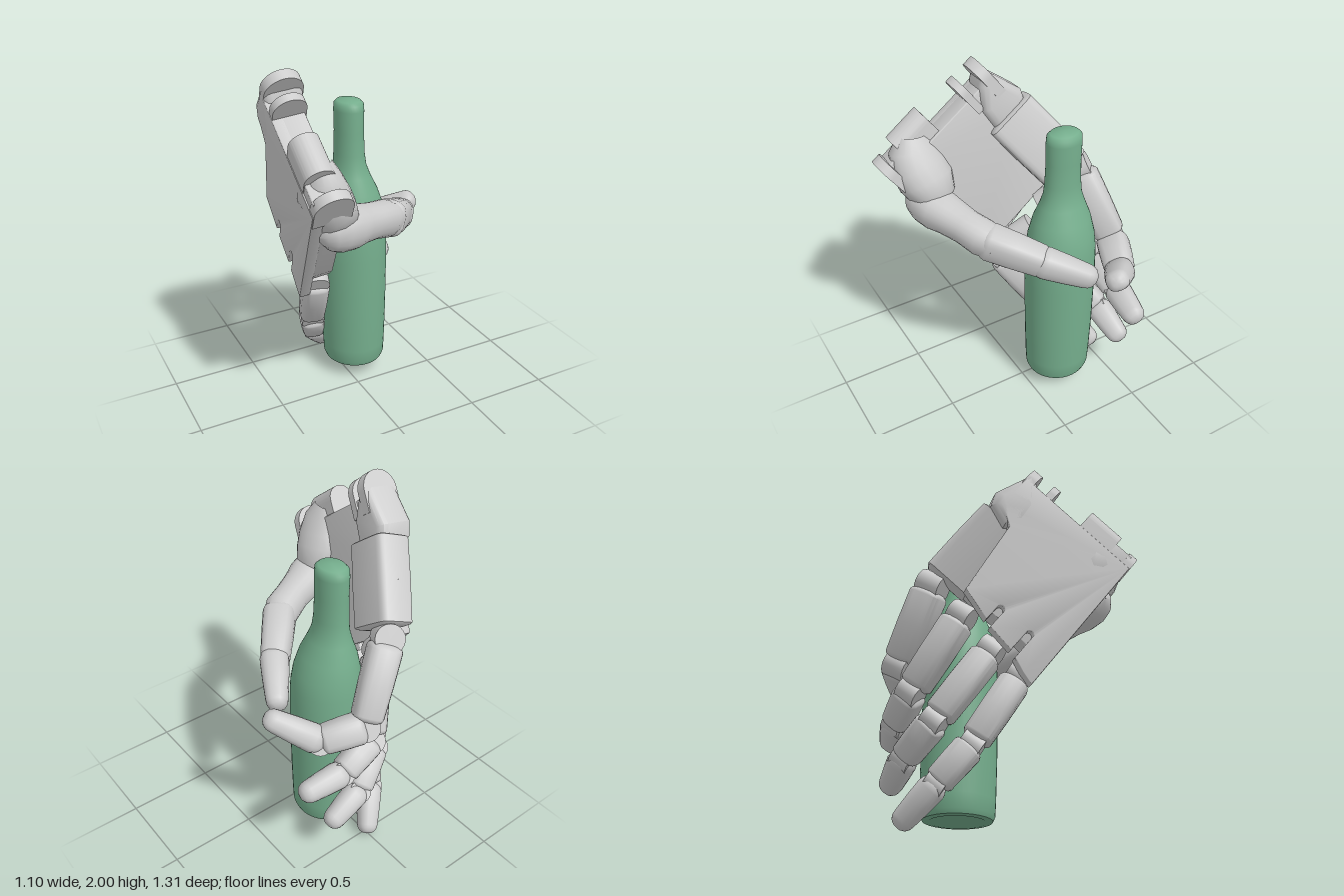
import * as THREE from 'three';
import { toCreasedNormals } from 'three/addons/utils/BufferGeometryUtils.js';

const V = (x, y, z) => new THREE.Vector3(x, y, z);
const grey = new THREE.MeshStandardMaterial({ color: 0xcccccc });
const green = new THREE.MeshStandardMaterial({ color: 0x75ae8d });

function mesh(name, geometry, material = grey, crease = 0.6) {
  const m = new THREE.Mesh(toCreasedNormals(geometry, crease), material);
  m.name = name;
  return m;
}

// Skin over rings [centre, halfWidth, halfDepth]; axis is the width direction,
// power < 1 makes the section squarer
function loft(rings, axis, power = 1, sides = 20) {
  const pos = [], index = [];
  const sp = (k) => Math.sign(k) * Math.abs(k) ** power;
  rings.forEach(([c, rw, rd], i) => {
    const prev = rings[Math.max(i - 1, 0)][0];
    const next = rings[Math.min(i + 1, rings.length - 1)][0];
    const t = next.clone().sub(prev).normalize();
    const u = axis.clone().addScaledVector(t, -axis.dot(t)).normalize();
    const v = t.clone().cross(u);
    for (let j = 0; j <= sides; j++) {
      const a = (j / sides) * Math.PI * 2;
      const p = c.clone().addScaledVector(u, rw * sp(Math.cos(a))).addScaledVector(v, rd * sp(Math.sin(a)));
      pos.push(p.x, p.y, p.z);
      if (i && j) {
        const d = i * (sides + 1) + j, b = d - sides - 1;
        index.push(b - 1, b, d - 1, b, d, d - 1);
      }
    }
  });
  const g = new THREE.BufferGeometry();
  g.setAttribute('position', new THREE.Float32BufferAttribute(pos, 3));
  g.setIndex(index);
  return g;
}

// Straight bone with rounded ends
function bone(name, a, b, r0, r1, axis, { power = 0.7, depth = 0.92, round = 0.6 } = {}) {
  const dir = b.clone().sub(a), len = dir.length();
  dir.normalize();
  const ring = (d, r) => [a.clone().addScaledVector(dir, d), r, r * depth];
  const cap = [[1, 0.001], [0.93, 0.42], [0.7, 0.74], [0.35, 0.93], [0, 1]];
  const rings = [
    ...cap.map(([o, s]) => ring(-o * r0 * round, r0 * s)),
    ring(len * 0.5, (r0 + r1) / 2 * 1.02),
    ...cap.slice().reverse().map(([o, s]) => ring(len + o * r1 * round, r1 * s)),
  ];
  return mesh(name, loft(rings, axis, power));
}

// Hinge barrel lying along an axis
function barrel(name, at, axis, r, length) {
  const m = mesh(name, new THREE.CylinderGeometry(r, r, length, 20));
  m.position.copy(at);
  m.quaternion.setFromUnitVectors(V(0, 1, 0), axis);
  return m;
}

// Three bones and their hinges through four joints
function finger(name, joints, axis, radii) {
  const g = new THREE.Group();
  g.name = name;
  ['proximalBone', 'middleBone', 'fingertip'].forEach((part, i) => {
    const a = joints[i], b = joints[i + 1], last = i === 2;
    const from = a.clone().lerp(b, 0.12), to = a.clone().lerp(b, 0.88);
    g.add(bone(part, from, to, radii[i], radii[i + 1], axis,
      { power: last ? 0.8 : 0.65, round: last ? 0.85 : 0.4 }));
    g.add(barrel('hinge', a, axis, radii[i] * 0.8, radii[i] * 1.4));
  });
  return g;
}

// Palm frame: x runs wrist to knuckles, y across the palm, z towards the bottle
function palm() {
  const g = new THREE.Group();
  g.name = 'palm';
  const slab = (name, shape, z0, z1, bevel) => {
    const m = mesh(name, new THREE.ExtrudeGeometry(shape, {
      depth: z1 - z0 - 2 * bevel, bevelEnabled: true, bevelSize: bevel, bevelThickness: bevel, bevelSegments: 3, curveSegments: 12,
    }), grey, 0.7);
    m.position.z = z0 + bevel;
    g.add(m);
  };
  const outline = (points) => new THREE.Shape(points.map(([x, y]) => new THREE.Vector2(x, y)));

  // back plate with open slots between the finger roots
  const s = new THREE.Shape();
  s.moveTo(0.13, 0.01);
  s.lineTo(1.03, 0.01);
  s.lineTo(1.01, 0.08);
  const slot = (y, end, next) => {
    const r = 0.026;
    s.lineTo(end, y - r);
    s.lineTo(0.83, y - r);
    s.absarc(0.83, y, r, -Math.PI / 2, -Math.PI * 1.5, true);
    s.lineTo(next, y + r);
  };
  slot(0.18, 0.98, 0.96);
  slot(0.38, 0.94, 0.92);
  s.lineTo(0.87, 0.58);
  s.lineTo(0.42, 0.64);
  s.lineTo(0.34, 0.755);
  s.lineTo(0.13, 0.755);
  s.closePath();
  slab('backPlate', s, 0.002, 0.065, 0.006);

  // thicker inner palm, stopping short of the knuckles
  slab('innerPalm', outline([[0.13, 0.012], [0.8, 0.012], [0.87, 0.03], [0.85, 0.57], [0.42, 0.63], [0.34, 0.75], [0.13, 0.75]]),
    0.04, 0.175, 0.006);
  slab('wristFill', outline([[0.06, 0.04], [0.2, 0.04], [0.2, 0.2], [0.06, 0.2]]), 0.01, 0.16, 0.006);

  // rounded heel that carries the folding metacarpal
  slab('palmHeel', outline([[0.14, 0.71], [0.12, 0.735], [0.3, 0.785], [0.35, 0.765], [0.38, 0.68], [0.34, 0.63], [0.24, 0.64]]),
    0.002, 0.212, 0.045);

  // round-ended wrist lugs, standing across the palm
  const lug = (name, y, width, depth, start = 0) => {
    const r = depth / 2, p = new THREE.Shape();
    p.moveTo(0.22, 0);
    p.lineTo(0.22, depth);
    p.lineTo(start + r, depth);
    p.absarc(start + r, r, r, Math.PI / 2, Math.PI * 1.5, false);
    p.closePath();
    const m = mesh(name, new THREE.ExtrudeGeometry(p, { depth: width, bevelEnabled: false, curveSegments: 16 }));
    m.rotation.x = Math.PI / 2;
    m.position.set(0, y + width, 0.006);
    g.add(m);
  };
  lug('wristLug', 0, 0.055, 0.2);
  lug('wristBlock', 0.145, 0.22, 0.155, -0.03);
  lug('wristLug', 0.575, 0.045, 0.18);
  lug('wristLug', 0.705, 0.06, 0.21);

  const d = V(0.162, -0.79, -0.588).normalize();
  const w = V(0, 0.597, -0.802);
  const n = d.clone().cross(w).normalize();
  g.applyMatrix4(new THREE.Matrix4().makeBasis(d, n.clone().cross(d), n));
  g.position.set(-0.55, 1.53, 0.64);
  return g;
}

function bottle() {
  const profile = [[0.001, 0.12], [0.1, 0.115], [0.15, 0.09], [0.185, 0.095], [0.196, 0.12], [0.2, 0.2], [0.206, 0.45],
    [0.208, 0.8], [0.204, 1.0], [0.192, 1.1], [0.168, 1.2], [0.132, 1.29], [0.112, 1.35], [0.105, 1.42],
    [0.1, 1.55], [0.102, 1.67], [0.099, 1.705], [0.08, 1.722], [0.001, 1.728]];
  const geo = new THREE.LatheGeometry(profile.map(([r, y]) => new THREE.Vector2(r, y)), 40);
  // the neck is more oval than the body and leans slightly
  const p = geo.attributes.position;
  for (let i = 0; i < p.count; i++) {
    const k = THREE.MathUtils.smoothstep(p.getY(i), 1.0, 1.45);
    p.setX(i, p.getX(i) * (0.94 - 0.14 * k) + 0.076 - 0.018 * k);
    p.setZ(i, p.getZ(i) - 0.21 - 0.012 * k);
  }
  return mesh('bottle', geo, green, 0.9);
}

function thumb() {
  const g = new THREE.Group();
  g.name = 'thumb';
  const up = V(0, 1, 0.15);
  // mound on the inner face of the palm
  const mound = [
    [V(-0.43, 1.66, 0.42), 0.08, 0.06], [V(-0.425, 1.58, 0.425), 0.135, 0.1], [V(-0.4, 1.48, 0.415), 0.155, 0.125],
    [V(-0.365, 1.4, 0.39), 0.155, 0.13], [V(-0.325, 1.32, 0.375), 0.125, 0.12], [V(-0.31, 1.27, 0.375), 0.08, 0.08],
  ];
  g.add(mesh('thumbMound', loft(mound, V(0, 0, 1), 0.9), grey, 0.8));
  // root bone leaving the mound sideways
  const root = [
    [V(-0.44, 1.27, 0.45), 0.001, 0.001], [V(-0.428, 1.272, 0.447), 0.05, 0.05], [V(-0.395, 1.278, 0.44), 0.09, 0.085],
    [V(-0.34, 1.28, 0.42), 0.112, 0.11], [V(-0.26, 1.265, 0.38), 0.112, 0.122], [V(-0.18, 1.25, 0.345), 0.1, 0.108],
    [V(-0.08, 1.23, 0.305), 0.094, 0.096], [V(0.02, 1.205, 0.26), 0.1, 0.1], [V(0.09, 1.18, 0.21), 0.088, 0.088],
    [V(0.11, 1.17, 0.195), 0.001, 0.001],
  ];
  g.add(mesh('thumbRoot', loft(root, up, 0.9), grey, 0.8));
  g.add(bone('thumbMiddle', V(0.06, 1.19, 0.235), V(0.24, 1.1, 0.03), 0.1, 0.086, up));
  g.add(bone('thumbTip', V(0.26, 1.09, 0.01), V(0.385, 1.005, -0.18), 0.088, 0.066, up, { power: 0.8, round: 0.9 }));
  return g;
}

export function createModel() {
  const model = new THREE.Group();
  model.name = 'handHoldingBottle';
  model.add(bottle(), palm(), thumb());

  // folding metacarpal of the upper finger
  model.add(bone('upperMetacarpal', V(-0.345, 1.675, -0.12), V(-0.17, 1.345, -0.37), 0.15, 0.15, V(0, 0.6, -0.8),
    { power: 0.3, depth: 0.66, round: 0.12 }));

  // four fingers wrapped round the back of the bottle
  const fingers = [
    ['upperFinger', [V(-0.13, 1.33, -0.45), V(0.1, 0.93, -0.56), V(0.32, 0.88, -0.46), V(0.52, 1.02, -0.28)],
      V(0.35, 0.6, -0.7), [0.1, 0.092, 0.085, 0.065]],
    ['secondFinger', [V(-0.2, 1.14, -0.3), V(0, 0.74, -0.51), V(0.22, 0.64, -0.53), V(0.45, 0.6, -0.5)],
      V(0.25, 0.75, -0.55), [0.09, 0.085, 0.08, 0.066]],
    ['thirdFinger', [V(-0.22, 0.95, -0.14), V(-0.12, 0.55, -0.41), V(0.08, 0.4, -0.51), V(0.29, 0.3, -0.53)],
      V(0.25, 0.7, -0.6), [0.088, 0.083, 0.078, 0.064]],
    ['lowerFinger', [V(-0.265, 0.8, 0), V(-0.2, 0.42, -0.23), V(-0.12, 0.22, -0.39), V(0.01, 0.04, -0.53)],
      V(0.2, 0.6, -0.77), [0.086, 0.082, 0.076, 0.062]],
  ];
  for (const [name, joints, axis, radii] of fingers) {
    // the hinge axis is squared against the root bone
    const t = joints[1].clone().sub(joints[0]).normalize();
    axis.addScaledVector(t, -axis.dot(t)).normalize();
    model.add(finger(name, joints, axis, radii));
  }
  return model;
}
